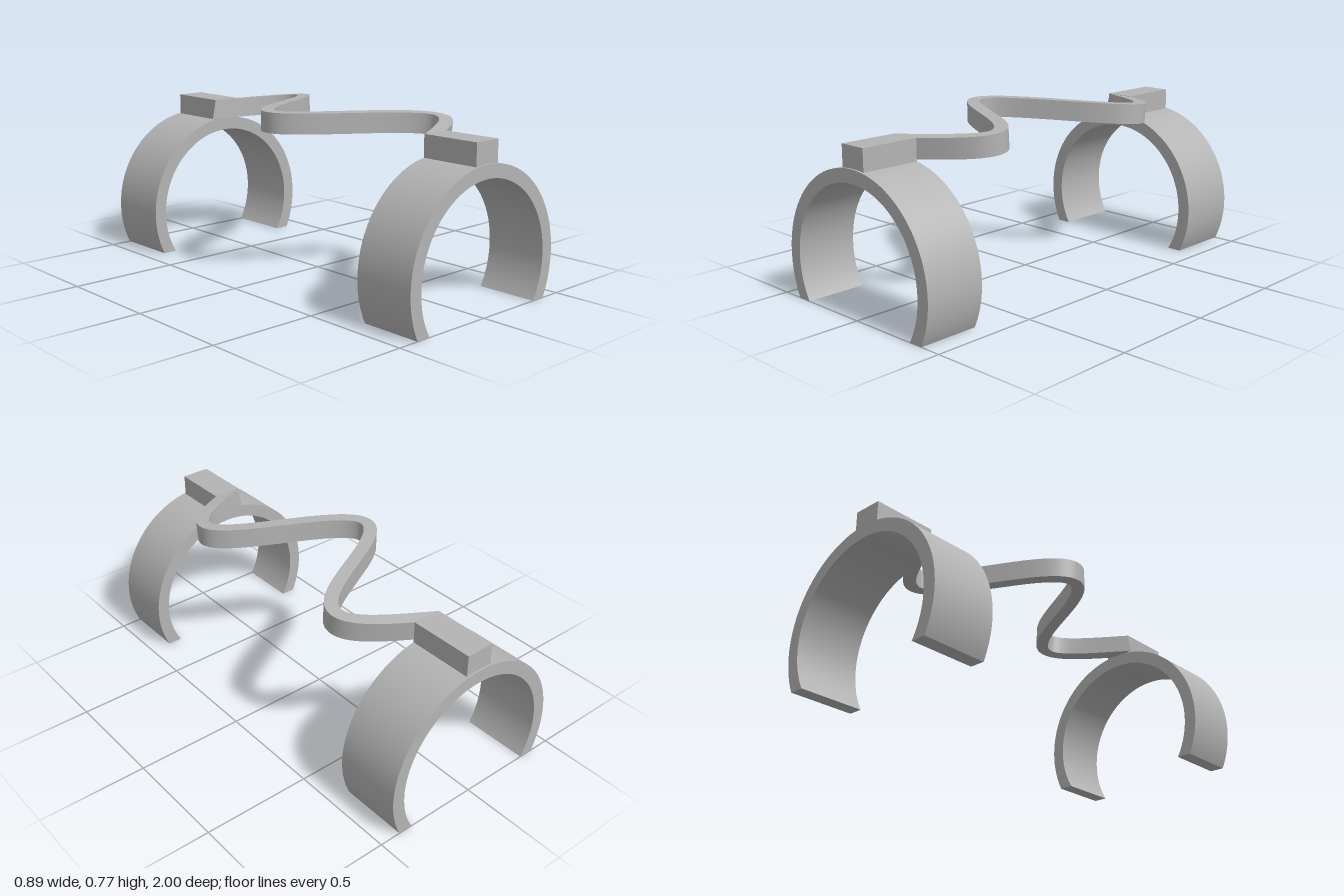
import * as THREE from 'three';
import { toCreasedNormals } from 'three/addons/utils/BufferGeometryUtils.js';

const FRONT = 0.715, BACK = -0.688;   // inner faces of the two clips
const material = new THREE.MeshStandardMaterial({ color: 0xb4b4b4 });
material.name = 'grey';

// Open ring, cut level at y = 0
function clipGeometry(depth) {
  const cy = 0.195, ro = 0.445, ri = 0.385;
  const ao = Math.asin(cy / ro), ai = Math.asin(cy / ri);
  const shape = new THREE.Shape();
  shape.absarc(0, cy, ro, -ao, Math.PI + ao, false);
  shape.absarc(0, cy, ri, Math.PI + ai, -ai, true);
  const geo = new THREE.ExtrudeGeometry(shape, { depth, bevelEnabled: false, curveSegments: 72 });
  return toCreasedNormals(geo, 0.5);
}

// Wavy strip: rectangular section swept along a cosine wave, arched upwards
function waveGeometry() {
  const steps = 140, half = 0.03, height = 0.093, amp = 0.285, arch = 6.1;
  const k = 2 * Math.PI / (FRONT - BACK) * 1.5, mid = (FRONT + BACK) / 2;
  const sections = [];
  for (let i = 0; i <= steps; i++) {
    const z = BACK + (FRONT - BACK) * i / steps;
    const x = -amp * Math.cos(k * (z - mid));
    const tangent = new THREE.Vector2(amp * k * Math.sin(k * (z - mid)), 1).normalize();
    sections.push([[1, 0], [-1, 0], [-1, 1], [1, 1]].map(([side, low]) => {
      let px = x + side * half * tangent.y;
      let pz = z - side * half * tangent.x;
      pz -= low * (pz - mid) * height / arch;   // walls lean with the arch
      // slide along the strip so the ends are flush with the clips
      const flush = i === 0 ? BACK : i === steps ? FRONT : THREE.MathUtils.clamp(pz, BACK, FRONT);
      px += (flush - pz) * tangent.x / tangent.y;
      const py = 0.773 - (flush - mid) ** 2 / (2 * arch) - low * height;
      return [px, py, flush];
    }));
  }
  // Each of the four sides has its own vertices, so the edges stay sharp
  const positions = [], index = [];
  for (let s = 0; s < 4; s++) {
    const base = positions.length / 3;
    sections.forEach((c) => positions.push(...c[s], ...c[(s + 1) % 4]));
    for (let i = 0; i < steps; i++) {
      const a = base + i * 2;
      index.push(a, a + 1, a + 2, a + 1, a + 3, a + 2);
    }
  }
  const geo = new THREE.BufferGeometry();
  geo.setAttribute('position', new THREE.Float32BufferAttribute(positions, 3));
  geo.setIndex(index);
  geo.computeVertexNormals();
  return geo;
}

export function createModel() {
  const model = new THREE.Group();
  const add = (name, geometry, x = 0, y = 0, z = 0) => {
    const mesh = new THREE.Mesh(geometry, material);
    mesh.name = name;
    mesh.position.set(x, y, z);
    model.add(mesh);
  };

  // Clips with a mounting block on top of each
  for (const [name, z0, z1, b0, b1] of [
    ['front', FRONT, 1, FRONT, 0.99],
    ['back', -1, BACK, -0.99, BACK],
  ]) {
    add(name + 'Clip', clipGeometry(z1 - z0), 0, 0, z0);
    add(name + 'Block', new THREE.BoxGeometry(0.134, 0.11, b1 - b0), 0, 0.679, (b0 + b1) / 2);
  }

  add('waveStrip', waveGeometry());
  return model;
}
